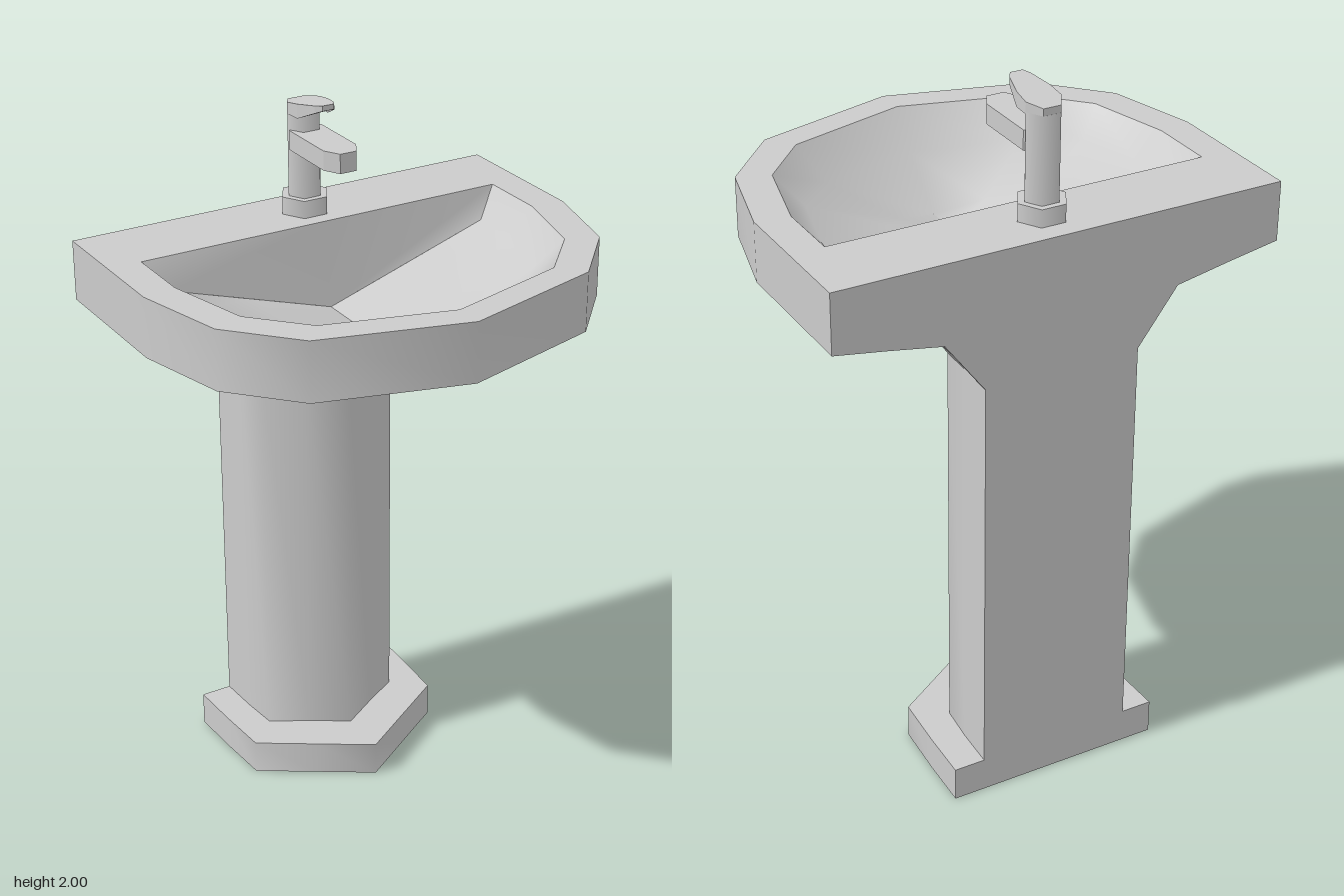
import * as THREE from 'three';

const material = new THREE.MeshStandardMaterial({ color: 0xcccccc, side: THREE.DoubleSide });

function part(name, geometry) {
  const mesh = new THREE.Mesh(geometry, material);
  mesh.name = name;
  return mesh;
}

// Half outline (back corner to front centre) mirrored into a full open ring
const mirror = (half) => [
  ...half,
  ...half.slice(0, -1).reverse().map(([x, ...rest]) => [-x, ...rest]),
];

// Ring of 3D points from a half outline of [x, z]; y is one height or one per point
const ring = (half, y) =>
  mirror(half.map(([x, z], i) => [x, Array.isArray(y) ? y[i] : y, z]));

// Smooth skin through rings; descending rings face outward, ascending face inward
function loft(rings) {
  const n = rings[0].length;
  const index = [];
  for (let r = 0; r < rings.length - 1; r++) {
    for (let i = 0; i < n - 1; i++) {
      const a = r * n + i, b = a + n;
      index.push(a, a + 1, b, a + 1, b + 1, b);
    }
  }
  const geometry = new THREE.BufferGeometry();
  geometry.setAttribute('position', new THREE.Float32BufferAttribute(rings.flat(2), 3));
  geometry.setIndex(index);
  geometry.computeVertexNormals();
  return geometry;
}

const points2 = (list, sign = 1) => list.map(([x, y]) => new THREE.Vector2(x, sign * y));

// Prism standing on y0 from a plan outline of [x, z]
function prism(half, y0, y1) {
  const shape = new THREE.Shape(points2(mirror(half), -1));
  return new THREE.ExtrudeGeometry(shape, { depth: y1 - y0, bevelEnabled: false })
    .rotateX(-Math.PI / 2)
    .translate(0, y0, 0);
}

// Plan half outlines, [x, z]
const rim = [[0.645, -0.5], [0.645, -0.065], [0.58, 0.2], [0.415, 0.38], [0, 0.495]];
const belly = [[0.5, -0.5], [0.49, -0.15], [0.4, 0.03], [0.23, 0.15], [0, 0.24]];
const flare = [[0.34, -0.5], [0.335, -0.35], [0.31, -0.18], [0.16, -0.1], [0, -0.01]];
const column = [[0.225, -0.5], [0.22, -0.38], [0.21, -0.27], [0.105, -0.21], [0, -0.145]];
const foot = [[0.315, -0.5], [0.31, -0.35], [0.3, -0.19], [0.15, -0.095], [0, 0]];
const opening = [[0.55, -0.275], [0.55, -0.08], [0.49, 0.165], [0.355, 0.31], [0, 0.41]];
const bowlSide = [[0.49, -0.24], [0.475, -0.09], [0.42, 0.12], [0.3, 0.24], [0, 0.34]];
const bowlFloor = [[0.25, -0.24], [0.24, -0.1], [0.2, 0.06], [0.13, 0.14], [0, 0.2]];
const keel = [[0, -0.24], [0, -0.13], [0, 0], [0, 0.1], [0, 0.2]];

function createBasin() {
  const basin = new THREE.Group();
  basin.name = 'basin';

  // Flat top around the bowl
  const top = new THREE.Shape(points2(mirror(rim), -1));
  top.holes.push(new THREE.Path(points2(mirror(opening), -1)));
  const topGeometry = new THREE.ShapeGeometry(top).rotateX(-Math.PI / 2).translate(0, 1.66, 0);
  basin.add(part('rimTop', topGeometry));
  basin.add(part('rimWall', loft([ring(rim, 1.66), ring(rim, 1.49)])));

  // Keeled underside
  basin.add(part('underside', loft([
    ring(rim, 1.49),
    ring(belly, [1.465, 1.46, 1.445, 1.42, 1.39]),
    ring(flare, [1.435, 1.435, 1.43, 1.4, 1.375]),
  ])));

  // Bowl interior and its steep back wall
  basin.add(part('bowl', loft([
    ring(keel, 1.42),
    ring(bowlFloor, [1.5, 1.5, 1.49, 1.46, 1.42]),
    ring(bowlSide, [1.577, 1.577, 1.575, 1.565, 1.55]),
    ring(opening, 1.66),
  ])));
  const wall = [
    [[-0.55, 1.66, -0.275], [0, 1.66, -0.275], [0.55, 1.66, -0.275]],
    [[-0.49, 1.577, -0.24], [0, 1.42, -0.24], [0.49, 1.577, -0.24]],
  ];
  basin.add(part('bowlBackWall', loft(wall)));
  return basin;
}

function createPedestal() {
  const pedestal = new THREE.Group();
  pedestal.name = 'pedestal';
  const neck = ring(column, [1.28, 1.28, 1.27, 1.26, 1.25]);
  pedestal.add(part('flaredNeck', loft([
    ring(flare, [1.435, 1.435, 1.43, 1.4, 1.375]), neck,
  ])));
  pedestal.add(part('column', loft([neck, ring(column, 0.1)])));
  pedestal.add(part('footTop', loft([ring(column, 0.1), ring(foot, 0.1)])));
  pedestal.add(part('footWall', loft([ring(foot, 0.1), ring(foot, 0)])));
  return pedestal;
}

// Flat panel closing basin, pedestal and foot at the wall
function createBackPanel() {
  const half = [
    [0.645, 1.66], [0.645, 1.49], [0.5, 1.465], [0.34, 1.435],
    [0.225, 1.28], [0.225, 0.1], [0.315, 0.1], [0.315, 0],
  ];
  const outline = [...half, ...half.slice().reverse().map(([x, y]) => [-x, y])];
  const geometry = new THREE.ShapeGeometry(new THREE.Shape(points2(outline)))
    .rotateY(Math.PI)
    .translate(0, 0, -0.5);
  return part('backPanel', geometry);
}

function createTap() {
  const tap = new THREE.Group();
  tap.name = 'tap';

  // Six-sided collar and body
  const hex = (name, radius, y0, y1) => {
    const geometry = new THREE.CylinderGeometry(radius, radius, y1 - y0, 6, 1, false, Math.PI / 6);
    tap.add(part(name, geometry.translate(0, (y0 + y1) / 2, -0.38)));
  };
  hex('tapCollar', 0.07, 1.66, 1.71);
  hex('tapBody', 0.05, 1.71, 1.95);

  const spout = [[0.025, -0.4], [0.05, -0.37], [0.05, -0.185], [0.025, -0.14], [0, -0.14]];
  tap.add(part('spout', prism(spout, 1.845, 1.9)));

  // Lever: a prism whose top and bottom are tilted up towards the front
  const lever = prism(
    [[0.025, -0.423], [0.05, -0.38], [0.047, -0.33], [0.03, -0.265], [0.018, -0.245], [0, -0.245]], 0, 1);
  const p = lever.attributes.position;
  for (let i = 0; i < p.count; i++) {
    const z = p.getZ(i);
    const top = 1.97 + (z + 0.423) * 0.168;
    const bottom = 1.945 + Math.max(0, z + 0.33) * 0.47;
    p.setY(i, p.getY(i) > 0.5 ? top : bottom);
  }
  lever.computeVertexNormals();
  tap.add(part('lever', lever));
  return tap;
}

export function createModel() {
  const model = new THREE.Group();
  model.name = 'pedestalSink';
  model.add(createBasin(), createPedestal(), createBackPanel(), createTap());
  return model;
}
